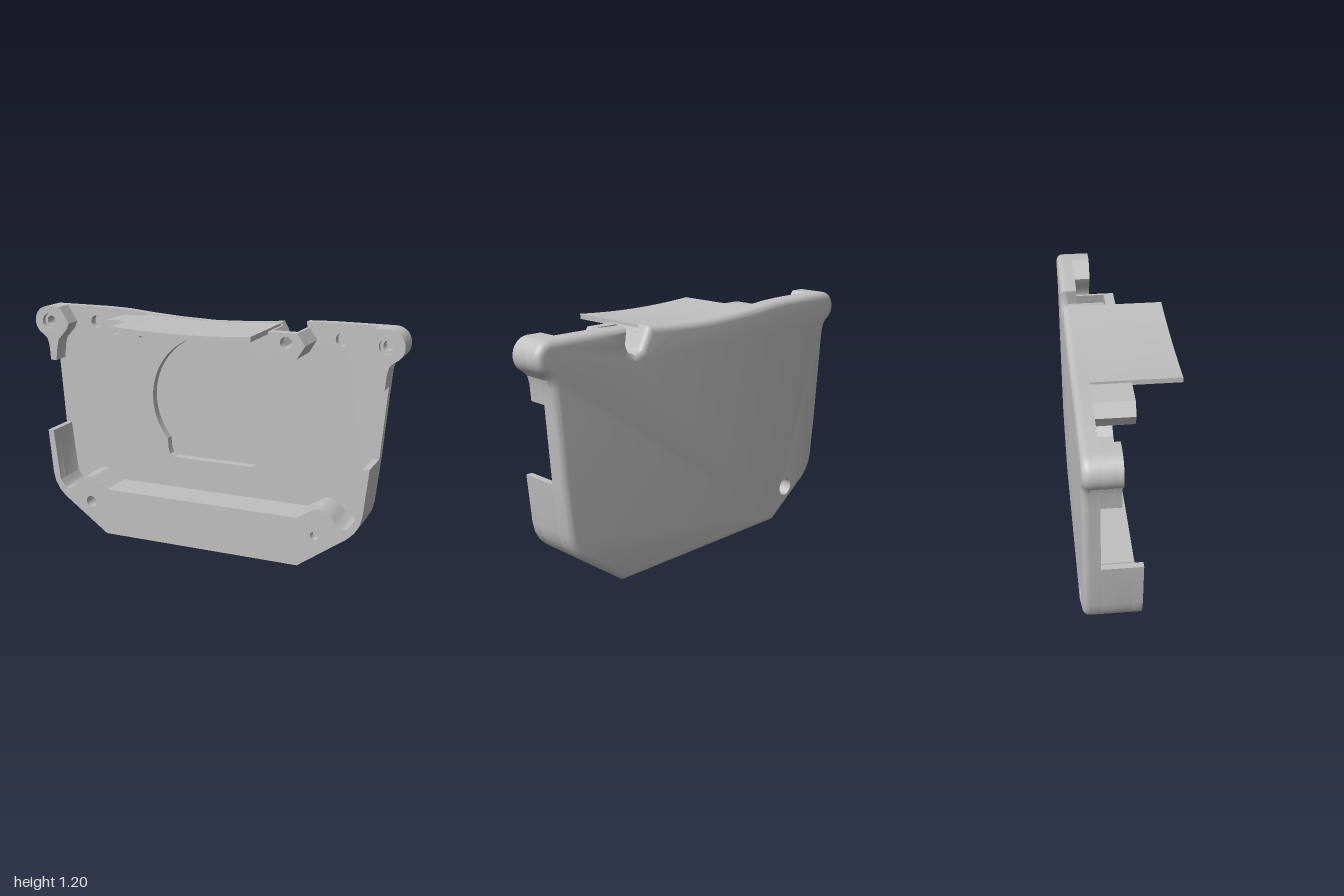
import * as THREE from 'three';
import { toCreasedNormals, mergeGeometries } from 'three/addons/utils/BufferGeometryUtils.js';

const BACK = -0.25, FLOOR = -0.215, PLATE = -0.17, EAR = -0.08, STEP = -0.03, FRONT = 0.02;

const mirror = (pts) => pts.map(([x, y]) => [-x, y]).reverse();
const arc = (cx, cy, r, a0, a1, n) => Array.from({ length: n + 1 }, (_, i) => {
  const a = THREE.MathUtils.degToRad(a0 + (a1 - a0) * i / n);
  return [cx + r * Math.cos(a), cy + r * Math.sin(a)];
});
const circle = (x, y, r) => arc(x, y, r, 0, 345, 23);
const vectors = (pts) => pts.map(([x, y]) => new THREE.Vector2(x, y));

function makeShape(pts, holes = []) {
  const shape = new THREE.Shape(vectors(pts));
  holes.forEach((h) => shape.holes.push(new THREE.Path(vectors(h))));
  return shape;
}

// Straight slab of an outline between two depths
function slab(pts, holes, z0, z1) {
  const geo = new THREE.ExtrudeGeometry(makeShape(pts, holes), { depth: z1 - z0, bevelEnabled: false });
  return toCreasedNormals(geo.translate(0, 0, z0), 0.5);
}

// Moves a counter-clockwise outline inward by d
function inset(pts, d) {
  const n = pts.length;
  const normal = (a, b) => {
    const l = Math.hypot(b[0] - a[0], b[1] - a[1]);
    return [-(b[1] - a[1]) / l, (b[0] - a[0]) / l];
  };
  return pts.map((p, i) => {
    const u = normal(pts[(i + n - 1) % n], p), v = normal(p, pts[(i + 1) % n]);
    const k = d / Math.max(0.5, 1 + u[0] * v[0] + u[1] * v[1]);
    return [p[0] + (u[0] + v[0]) * k, p[1] + (u[1] + v[1]) * k];
  });
}

// Back skin with a rounded rim, closed on both faces
function roundedBack(pts, hole, r) {
  const steps = 5, pos = [], rings = [[pts, FLOOR]];
  for (let i = 0; i <= steps; i++) {
    const a = Math.PI / 2 * i / steps;
    rings.push([inset(pts, r * (1 - Math.cos(a))), BACK + r * (1 - Math.sin(a))]);
  }
  for (let k = 0; k < rings.length - 1; k++) {
    const [f, zf] = rings[k], [b, zb] = rings[k + 1];
    pts.forEach((_, i) => {
      const j = (i + 1) % pts.length;
      pos.push(...b[i], zb, ...b[j], zb, ...f[j], zf, ...b[i], zb, ...f[j], zf, ...f[i], zf);
    });
  }
  const rim = new THREE.BufferGeometry();
  rim.setAttribute('position', new THREE.Float32BufferAttribute(pos, 3));
  const cap = (outline, z, flip) => {
    const g = new THREE.ShapeGeometry(makeShape(outline, [hole])).toNonIndexed();
    g.deleteAttribute('uv');
    g.deleteAttribute('normal');
    if (flip) {
      const p = g.attributes.position;
      for (let i = 0; i < p.count; i += 3) {
        const x = p.getX(i), y = p.getY(i);
        p.setXY(i, p.getX(i + 1), p.getY(i + 1));
        p.setXY(i + 1, x, y);
      }
    }
    return g.translate(0, 0, z);
  };
  const last = rings[rings.length - 1][0];
  return toCreasedNormals(mergeGeometries([rim, cap(pts, FLOOR, false), cap(last, BACK, true)]), 0.6);
}

export function createModel() {
  const group = new THREE.Group();
  const grey = new THREE.MeshStandardMaterial({ color: 0xc0c0c0, side: THREE.DoubleSide });
  grey.name = 'grey';
  const add = (name, geo) => {
    const mesh = new THREE.Mesh(geo, grey);
    mesh.name = name;
    group.add(mesh);
    return mesh;
  };

  // Shared outlines of the left half
  const lower = [[0.54, 0], [0.79, 0.18], [0.825, 0.215], [0.85, 0.26], [0.862, 0.31], [0.885, 0.545]];
  const earEdge = [[0.913, 0.91], [0.92, 0.99], [0.93, 1.025], [0.95, 1.045], ...arc(0.92, 1.12, 0.08, -50, 90, 12)];
  const notch = [[0.505, 1.12], [0.49, 1.085], [0.455, 1.07], [0.42, 1.085], [0.4, 1.12]];
  const body = [...lower, ...earEdge, [0.62, 1.2]];
  const outline = [
    ...body, [0.495, 1.196], ...notch, [0.365, 1.185], [0.2, 1.172], [0, 1.165],
    ...mirror([...body, [0.5, 1.196], [0.36, 1.183], [0.2, 1.172]]),
  ];

  // Back plate with the round recess
  const wideHole = circle(-0.63, 0.17, 0.045);
  const recess = [...arc(0, 0.745, 0.345, -41, 221, 48),
    [-0.255, 0.46], [-0.245, 0.435], [-0.22, 0.42], [0.22, 0.42], [0.245, 0.435], [0.255, 0.46]];
  add('backSkin', roundedBack(outline, wideHole, 0.032));
  add('backPlate', slab(outline,
    [recess, wideHole, circle(0.675, 1.12, 0.033), circle(-0.675, 1.12, 0.033)], FLOOR, PLATE));
  const liner = add('holeLiner', new THREE.CylinderGeometry(0.045, 0.045, FLOOR - BACK, 24, 1, true));
  liner.rotation.x = Math.PI / 2;
  liner.position.set(-0.63, 0.17, (FLOOR + BACK) / 2);

  // Bottom block with side walls and scalloped corners
  const scallop = new THREE.SplineCurve(vectors([[0.82, 0.275], [0.783, 0.227], [0.74, 0.243], [0.69, 0.29],
    [0.635, 0.312], [0.59, 0.29], [0.53, 0.252]])).getPoints(30).map((p) => [p.x, p.y]);
  const half = [[0.53, 0.03], [0.53, 0], ...lower, [0.853, 0.545], ...scallop];
  const block = [...half, ...mirror(half)];
  add('bottomBlock', slab(block, [wideHole], PLATE, STEP));
  add('bottomBlockFront', slab(block, [circle(-0.63, 0.17, 0.03), circle(0.625, 0.17, 0.022)], STEP, FRONT));

  // Underside strip with three screw holes
  const strip = slab([[-0.53, -FRONT], [0.53, -FRONT], [0.53, -PLATE], [-0.53, -PLATE]],
    [-0.43, 0, 0.43].map((x) => circle(x, 0.09, 0.02)), 0, 0.03);
  add('undersideStrip', strip.rotateX(-Math.PI / 2));

  // Corner ears with stepped screw holes
  const ear = [...earEdge, [0.85, 1.2], [0.795, 1.115], [0.81, 1.08], [0.86, 1.025], [0.87, 0.99], [0.88, 0.91]];
  for (const side of [1, -1]) {
    const pts = side > 0 ? ear : mirror(ear);
    const name = side > 0 ? 'left' : 'right';
    add(name + 'Ear', slab(pts, [circle(side * 0.915, 1.12, 0.025)], PLATE, EAR - 0.025));
    add(name + 'EarFront', slab(pts, [circle(side * 0.915, 1.12, 0.04)], EAR - 0.025, EAR));
  }

  // Screw bosses beside the shelf; the left one is open behind
  const bossLow = [[0.325, 1.09], [0.47, 1.04], [0.51, 1.045], [0.55, 1.11], [0.51, 1.168]];
  const bossTop = [[0.36, 1.168], [0.32, 1.145]];
  const boss = [...bossLow, ...bossTop];
  add('leftBoss', slab([...bossLow, [0.495, 1.168], ...notch, [0.375, 1.168], ...bossTop], [], PLATE, STEP));
  add('leftBossFront', slab(boss, [circle(0.455, 1.12, 0.03)], STEP, FRONT));
  add('rightBoss', slab(mirror(boss), [circle(-0.46, 1.12, 0.022)], PLATE, FRONT));

  // Curved shelf reaching forward
  const shelf = [];
  for (let i = 0; i <= 24; i++) {
    const t = i / 12 - 1;
    shelf.push([t * 0.363, 1.14 + 0.015 * t * t]);
  }
  add('shelf', slab([...shelf, ...shelf.map(([x, y]) => [x, y + 0.025]).reverse()], [], FLOOR, 0.25));

  return group;
}
